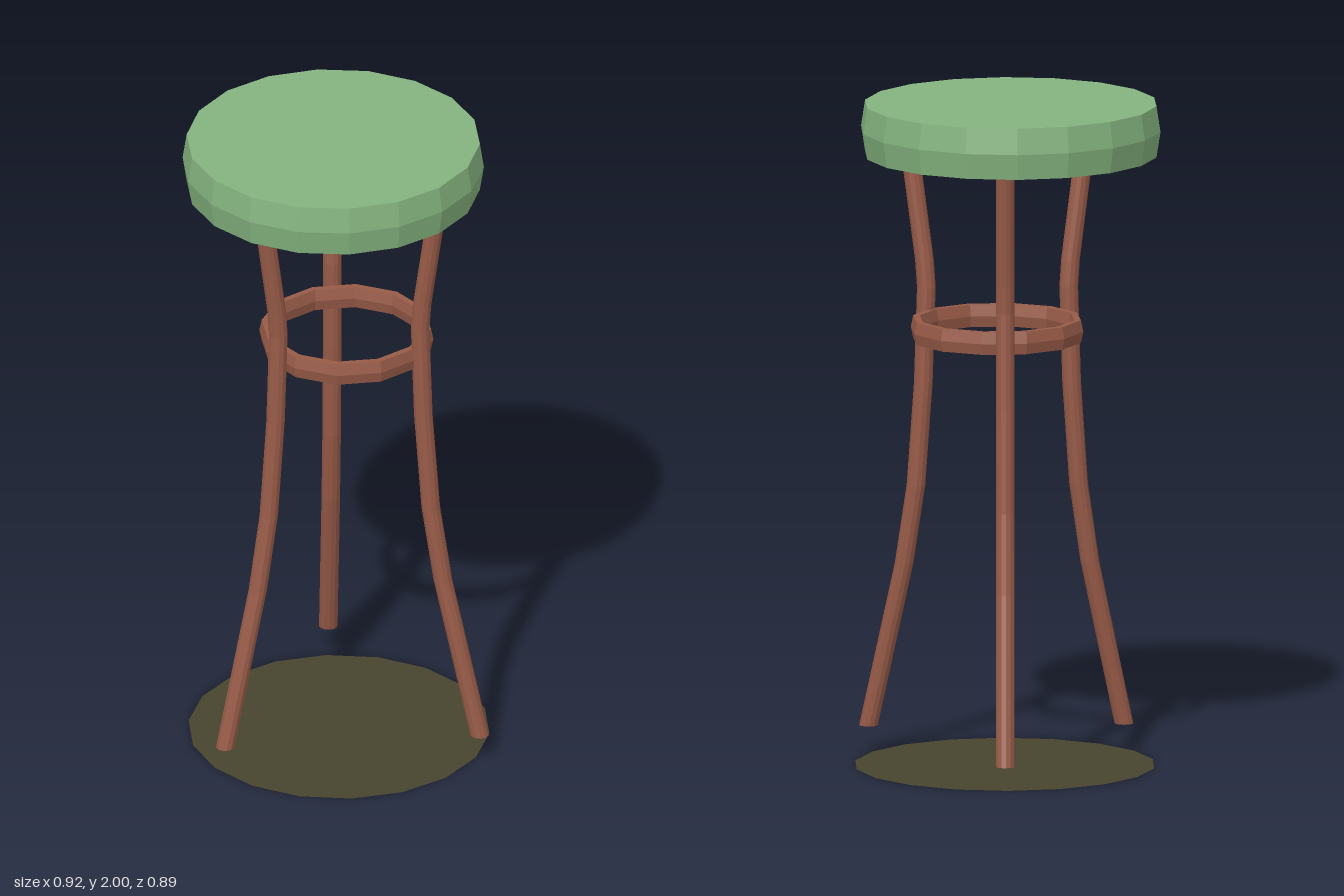
import * as THREE from 'three';

const DEG = Math.PI / 180;

const seatGreen = new THREE.MeshStandardMaterial({ color: 0x84b37e });
seatGreen.name = 'seatGreen';
const woodBrown = new THREE.MeshStandardMaterial({ color: 0x985b48 });
woodBrown.name = 'woodBrown';
const baseOlive = new THREE.MeshStandardMaterial({ color: 0x47452d, side: THREE.DoubleSide });
baseOlive.name = 'baseOlive';

// Faceted mesh: every face gets its own normal
function facetedMesh(name, geometry, material) {
  const flat = geometry.toNonIndexed();
  flat.computeVertexNormals();
  const mesh = new THREE.Mesh(flat, material);
  mesh.name = name;
  return mesh;
}

// Lathe from [radius, y] pairs; turn is the angle of the first corner from +x towards +z
function lathe(profile, sides, turn) {
  const points = profile.map(([r, y]) => new THREE.Vector2(r, y));
  return new THREE.LatheGeometry(points, sides, (90 - turn) * DEG);
}

// Height and inward shift of the leg's centre line, foot to top
const LEG_PATH = [
  [0.08, 0], [0.58, 0.117], [0.82, 0.156], [1.13, 0.18],
  [1.42, 0.19], [1.5, 0.184], [1.86, 0.132],
];

// Upright cylinder whose rings are slid along the bent path
function legGeometry(footX, footZ, angle) {
  const last = LEG_PATH.length - 1;
  const geometry = new THREE.CylinderGeometry(0.028, 0.028, last, 12, last);
  const pos = geometry.attributes.position;
  for (let i = 0; i < pos.count; i++) {
    const [y, inward] = LEG_PATH[Math.round(pos.getY(i) + last / 2)];
    pos.setXYZ(
      i,
      pos.getX(i) + footX - inward * Math.cos(angle * DEG),
      y,
      pos.getZ(i) + footZ - inward * Math.sin(angle * DEG),
    );
  }
  return geometry;
}

export function createModel() {
  const model = new THREE.Group();
  model.name = 'stool';

  // Padded round seat with a slightly bulging rim
  const seat = facetedMesh('seat', lathe(
    [[0, 1.845], [0.438, 1.845], [0.45, 1.922], [0.438, 2], [0, 2]], 18, 2.5), seatGreen);
  seat.position.x = -0.011;
  model.add(seat);

  // Three bent legs: foot x, foot z, outward angle
  const legs = [
    ['rightLeg', -0.423, 0, 185],
    ['backLeg', 0.29, -0.4, -55],
    ['frontLeg', 0.217, 0.413, 60],
  ];
  for (const [name, x, z, angle] of legs) {
    model.add(facetedMesh(name, legGeometry(x, z, angle), woodBrown));
  }

  // Brace ring inside the legs
  const ring = facetedMesh('braceRing', lathe(
    [[0.254, 1.287], [0.261, 1.32], [0.254, 1.355], [0.234, 1.355],
      [0.227, 1.32], [0.234, 1.287], [0.254, 1.287]], 12, 15), woodBrown);
  ring.position.x = 0.039;
  model.add(ring);

  // Flat disc on the floor
  const disc = facetedMesh('floorDisc', new THREE.CircleGeometry(0.45, 18, -3.8 * DEG), baseOlive);
  disc.rotation.x = -Math.PI / 2;
  disc.position.x = 0.011;
  model.add(disc);

  return model;
}
